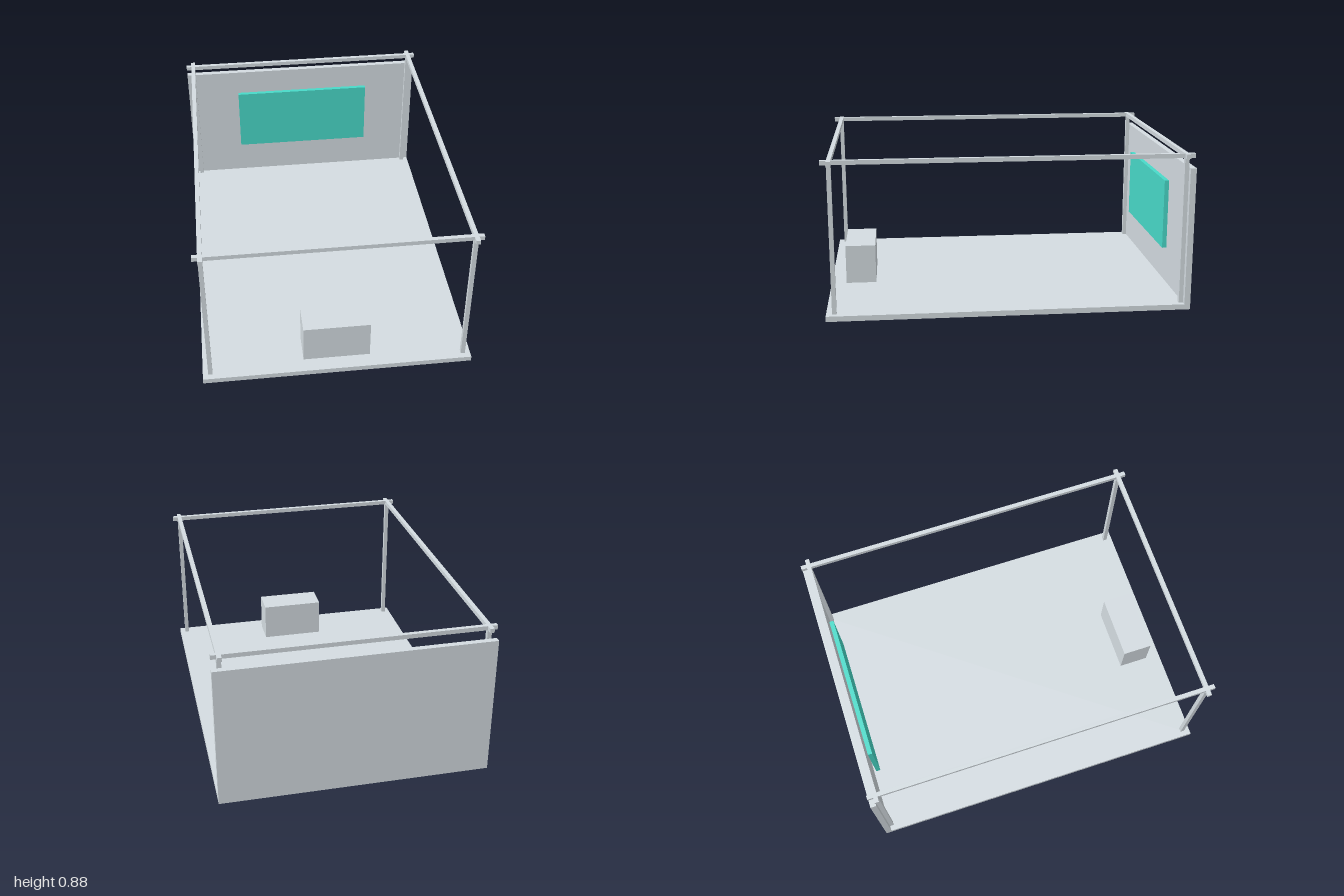
import * as THREE from 'three';

export function createModel() {
  const group = new THREE.Group();
  const grey = new THREE.MeshStandardMaterial({ color: 0xd4dce1 });
  grey.name = 'paleGrey';
  const teal = new THREE.MeshStandardMaterial({ color: 0x48dac9 });
  teal.name = 'turquoise';

  // Box given by its extent along each axis
  const box = (name, [x0, x1], [y0, y1], [z0, z1], material = grey) => {
    const mesh = new THREE.Mesh(new THREE.BoxGeometry(x1 - x0, y1 - y0, z1 - z0), material);
    mesh.position.set((x0 + x1) / 2, (y0 + y1) / 2, (z0 + z1) / 2);
    mesh.name = name;
    group.add(mesh);
  };

  const halfWidth = 0.749, floorTop = 0.03, railBottom = 0.851, railTop = 0.875;
  const postX = 0.707, postZ = 0.955, r = 0.012;
  const around = (c) => [c - r, c + r];

  // Stage floor, back wall, wall screen and counter
  box('floor', [-halfWidth, halfWidth], [0, floorTop], [-1, 1]);
  box('backWall', [-halfWidth, halfWidth], [floorTop, 0.8], [-1, -0.967]);
  box('screen', [-0.424, 0.424], [0.262, 0.661], [-0.942, -0.917], teal);
  box('counter', [-0.187, 0.187], [floorTop, 0.256], [0.739, 0.913]);

  // Corner posts carrying crossed overhead rails
  for (const sx of [-1, 1]) {
    for (const sz of [-1, 1]) {
      box('post', around(sx * postX), [floorTop, railBottom], around(sz * postZ));
    }
    box('sideRail', around(sx * postX), [railBottom, railTop], [-1, 1]);
  }
  for (const sz of [-1, 1]) {
    box('crossRail', [-halfWidth, halfWidth], [railBottom, railTop], around(sz * postZ));
  }

  return group;
}
